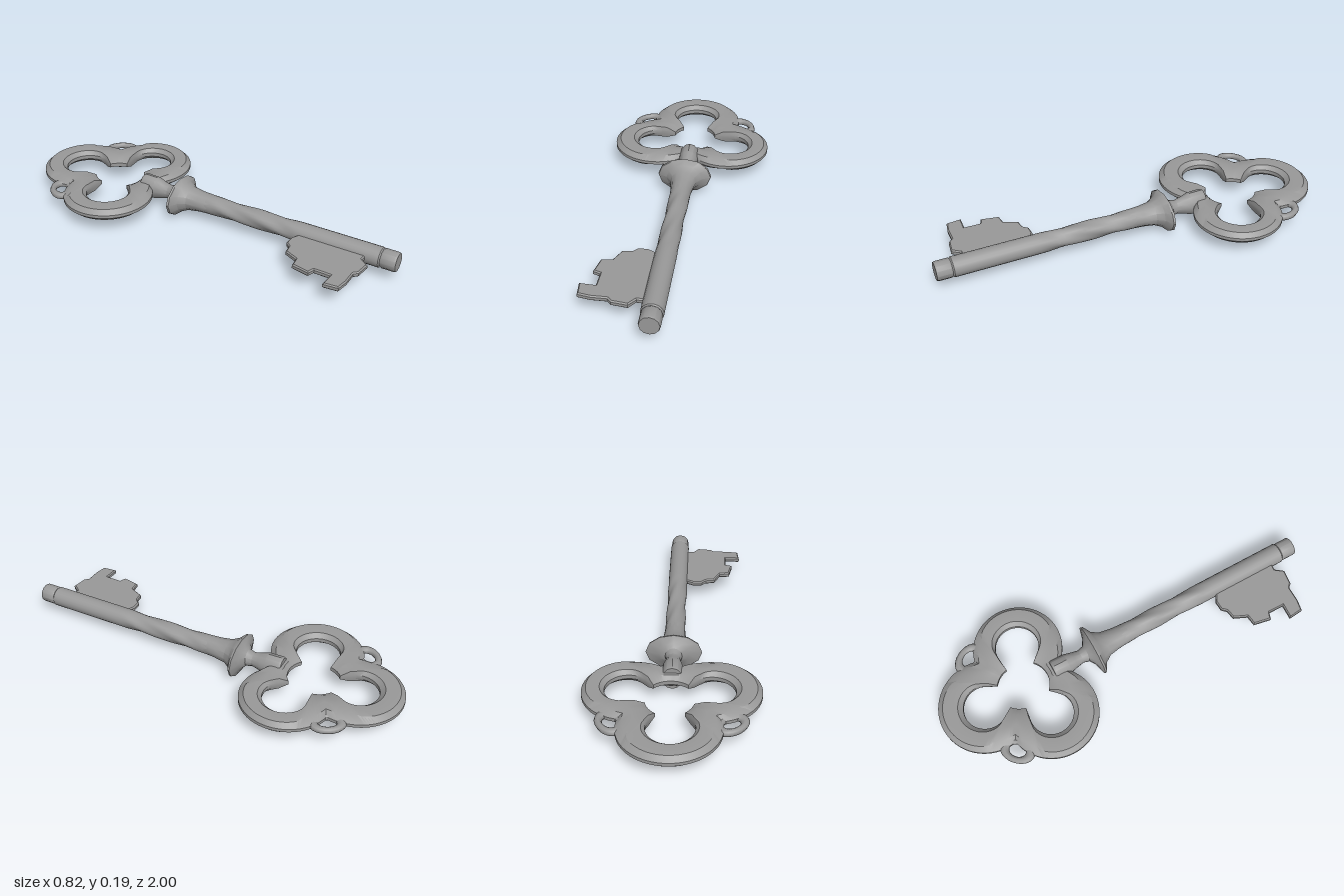
import * as THREE from 'three';
import { toCreasedNormals } from 'three/addons/utils/BufferGeometryUtils.js';

const MID = 0.095; // height of the key's middle plane

// Skin a list of closed cross-sections; closed joins the last one to the first.
function loft(rows, closed = false, crease = 0.6) {
  const n = rows[0].length, index = [];
  const last = closed ? rows.length : rows.length - 1;
  for (let i = 0; i < last; i++) {
    const i2 = (i + 1) % rows.length;
    for (let j = 0; j < n; j++) {
      const j2 = (j + 1) % n;
      const a = i * n + j, b = i2 * n + j, c = i2 * n + j2, d = i * n + j2;
      index.push(a, b, d, b, c, d);
    }
  }
  const geo = new THREE.BufferGeometry();
  geo.setAttribute('position', new THREE.Float32BufferAttribute(rows.flat(2), 3));
  geo.setIndex(index);
  return toCreasedNormals(geo, crease);
}

// Distance from the bow's centre to the far side of a union of circles
const CX = 0, CZ = -0.58;
function reach(angle, circles, least) {
  const dx = Math.cos(angle), dz = Math.sin(angle);
  let best = least;
  for (const [x, z, r] of circles) {
    const along = (x - CX) * dx + (z - CZ) * dz;
    const off = (x - CX) * dz - (z - CZ) * dx;
    if (along > 0 && Math.abs(off) < r) best = Math.max(best, along + Math.sqrt(r * r - off * off));
  }
  return best;
}

// Trefoil bow with a bevelled rim
function bowGeometry() {
  const outer = [[-0.02, -0.765, 0.235], [-0.185, -0.485, 0.228], [0.19, -0.515, 0.222]];
  const inner = [[-0.025, -0.77, 0.11], [-0.185, -0.49, 0.108], [0.2, -0.515, 0.108]];
  const section = [[0, 0.008], [0, -0.008], [0.2, -0.03], [0.5, -0.032], [0.8, -0.03],
    [1, -0.01], [1, 0.01], [0.8, 0.03], [0.5, 0.032], [0.2, 0.03]];
  const rows = [], N = 200;
  for (let i = 0; i < N; i++) {
    const a = i / N * Math.PI * 2, down = Math.max(0, Math.sin(a));
    const ro = reach(a, outer, 0.23 + 0.02 * down);
    const ri = reach(a, inner, 0.112 + 0.035 * down);
    rows.push(section.map(([t, y]) => {
      const r = ro + (ri - ro) * t;
      return [CX + r * Math.cos(a), MID + y, CZ + r * Math.sin(a)];
    }));
  }
  return loft(rows, true);
}

// Round part along the slightly slanted stem: profile of [distance, half width, half height]
const SLANT = 0.0826;
function stem(profile, sides, ripple = () => 1) {
  return loft(profile.map(([s, rx, ry]) => {
    const row = [];
    for (let j = 0; j < sides; j++) {
      const a = j / sides * Math.PI * 2, k = ripple(s, a);
      const u = rx * k * Math.cos(a);
      row.push([0.01 + SLANT * s + u, MID - ry * k * Math.sin(a), -0.4 + s * 0.9966 - u * SLANT]);
    }
    return row;
  }));
}

export function createModel() {
  const group = new THREE.Group();
  const metal = new THREE.MeshStandardMaterial({ color: 0x999999 });
  metal.name = 'grey metal';
  const add = (name, geo) => {
    const mesh = new THREE.Mesh(geo, metal);
    mesh.name = name;
    group.add(mesh);
    return mesh;
  };

  add('bow', bowGeometry());

  // Small loops in the notches beside the upper lobe
  for (const [name, x, z, turn] of [['leftLug', 0.243, -0.755, -0.95], ['rightLug', -0.288, -0.712, 0.8]]) {
    const ring = new THREE.TorusGeometry(0.05, 0.018, 8, 24);
    ring.scale(1.3, 0.9, 0.9);
    ring.rotateX(Math.PI / 2);
    ring.rotateY(turn);
    ring.translate(x, MID, z);
    add(name, ring);
  }

  // Neck joining bow and collar
  add('neck', stem([[0, 0, 0], [0, 0.048, 0.058], [0.01, 0.051, 0.061], [0.08, 0.05, 0.059],
    [0.12, 0.04, 0.045], [0.155, 0.034, 0.036], [0.185, 0.042, 0.043], [0.21, 0.06, 0.055]], 12));

  // Wide oval collar
  add('collar', stem([[0.185, 0, 0], [0.185, 0.042, 0.042], [0.205, 0.075, 0.06], [0.222, 0.137, 0.095],
    [0.232, 0.134, 0.093], [0.255, 0.09, 0.075], [0.29, 0.066, 0.06], [0.35, 0.056, 0.052], [0.42, 0.05, 0.049]], 12));

  // Shaft with a twisted middle
  const shaft = [];
  for (let i = 0; i <= 36; i++) shaft.push([0.38 + i * 0.026, 0.051, 0.049]);
  shaft.push([1.317, 0.049, 0.048], [1.322, 0.045, 0.044]);
  add('shaft', stem(shaft, 20, (s, a) => {
    const fade = THREE.MathUtils.smoothstep(s, 0.4, 0.5) * (1 - THREE.MathUtils.smoothstep(s, 0.8, 0.92));
    return 1 - fade * (0.06 - 0.06 * Math.cos(4 * (a + s * 6)));
  }));

  // Plain tip
  add('tip', stem([[1.32, 0.044, 0.043], [1.328, 0.048, 0.048], [1.39, 0.048, 0.048],
    [1.398, 0.045, 0.045], [1.398, 0, 0]], 12));

  // Flat toothed bit
  const outline = [[0.07, 0.515], [0.035, 0.515], [0, 0.5], [-0.045, 0.505], [-0.065, 0.53], [-0.11, 0.54],
    [-0.135, 0.61], [-0.185, 0.62], [-0.195, 0.705], [-0.16, 0.715], [-0.155, 0.8], [-0.23, 0.802],
    [-0.218, 0.87], [-0.16, 0.876], [-0.085, 0.87], [-0.065, 0.888], [0.008, 0.892], [0.035, 0.85], [0.1, 0.85]];
  const bit = new THREE.ExtrudeGeometry(new THREE.Shape(outline.map(([x, z]) => new THREE.Vector2(x, z))), {
    depth: 0.014, bevelThickness: 0.006, bevelSize: 0.006, bevelOffset: -0.003, bevelSegments: 1,
  });
  bit.rotateX(Math.PI / 2);
  bit.translate(0, MID + 0.007, 0);
  add('bit', bit);

  return group;
}
